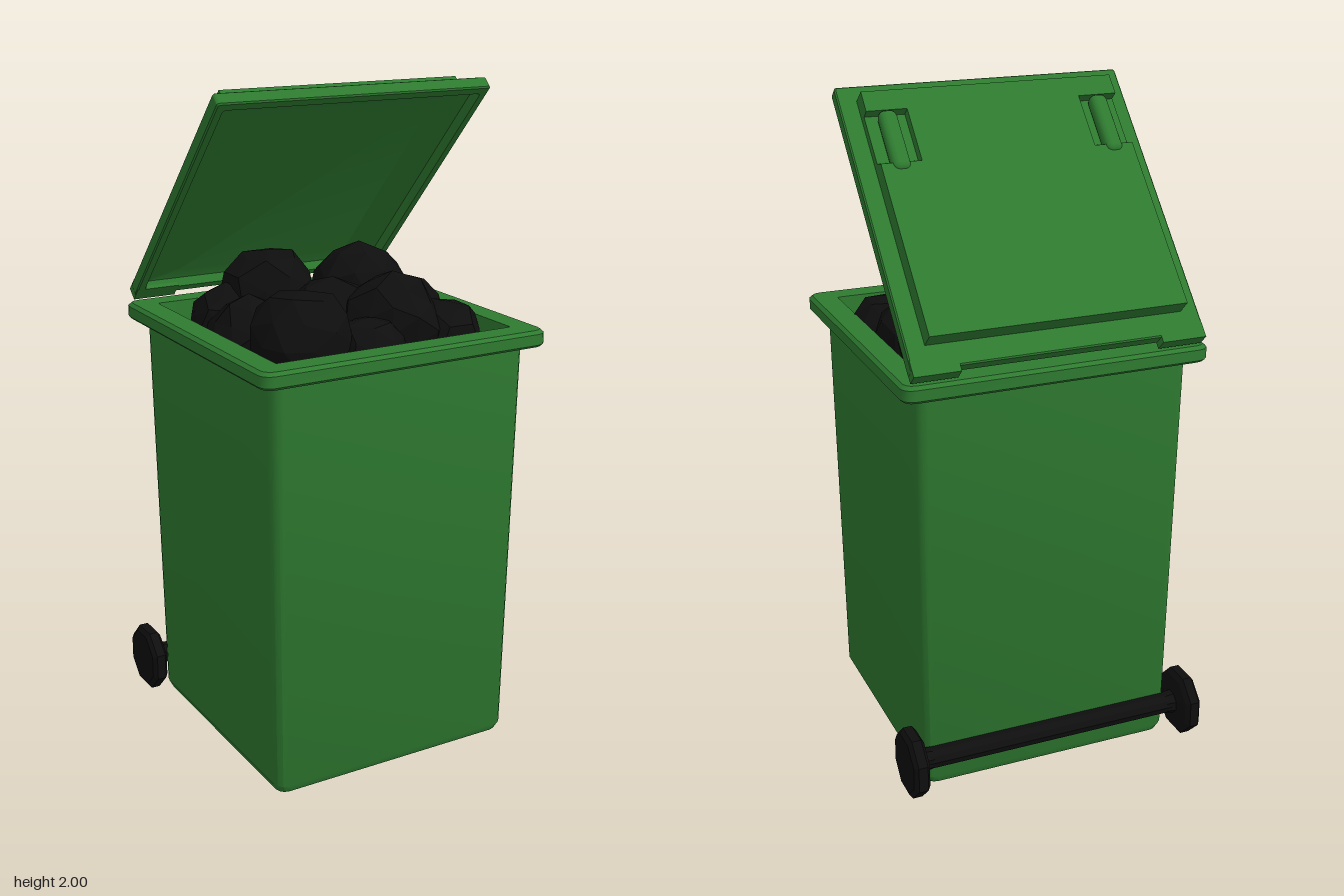
import * as THREE from 'three';
import { toCreasedNormals } from 'three/addons/utils/BufferGeometryUtils.js';
import { RoundedBoxGeometry } from 'three/addons/geometries/RoundedBoxGeometry.js';

// Corner-rounded rectangle outline at height y, from -x to x and z0 to z1
function ringPoints({ y, x, z0, z1, r }) {
  const corners = [[x - r, z1 - r], [-x + r, z1 - r], [-x + r, z0 + r], [x - r, z0 + r]];
  const points = [];
  corners.forEach(([cx, cz], c) => {
    for (let i = 0; i <= 3; i++) {
      const a = (c + i / 3) * Math.PI / 2;
      points.push([cx + r * Math.cos(a), y, cz + r * Math.sin(a)]);
    }
  });
  return points;
}

// Skin between successive outlines, optionally capped at either end
function loft(rings, capStart, capEnd) {
  const n = 16, pos = [], index = [];
  rings.forEach(ring => ringPoints(ring).forEach(p => pos.push(...p)));
  for (let k = 0; k < rings.length - 1; k++) {
    for (let i = 0; i < n; i++) {
      const a = k * n + i, b = k * n + (i + 1) % n, c = a + n, d = b + n;
      index.push(a, c, b, b, c, d);
    }
  }
  const last = (rings.length - 1) * n;
  for (let i = 1; i < n - 1; i++) {
    if (capStart) index.push(0, i, i + 1);
    if (capEnd) index.push(last, last + i + 1, last + i);
  }
  const geo = new THREE.BufferGeometry();
  geo.setAttribute('position', new THREE.Float32BufferAttribute(pos, 3));
  geo.setIndex(index);
  return toCreasedNormals(geo, 0.6);
}

const ring = (y, x, z0, z1, r) => ({ y, x, z0, z1, r });

// Side profile of [z, y] points extruded along x
function extrudeX(profile, x0, x1) {
  const shape = new THREE.Shape(profile.map(p => new THREE.Vector2(...p)));
  const geo = new THREE.ExtrudeGeometry(shape, { depth: x1 - x0, bevelEnabled: false });
  return geo.rotateY(-Math.PI / 2).translate(x1, 0, 0);
}

// Lumpy faceted bag or rock
function lump(radius, seed) {
  const geo = new THREE.IcosahedronGeometry(radius, 1);
  const p = geo.attributes.position;
  for (let i = 0; i < p.count; i++) {
    const key = Math.round(p.getX(i) / radius * 50) * 12.9 + Math.round(p.getY(i) / radius * 50) * 78.2
      + Math.round(p.getZ(i) / radius * 50) * 37.7 + seed * 51.3;
    const k = 0.92 + 0.14 * Math.abs(Math.sin(key));
    p.setXYZ(i, p.getX(i) * k, p.getY(i) * k, p.getZ(i) * k);
  }
  geo.computeVertexNormals();
  return geo;
}

export function createModel() {
  const model = new THREE.Group();
  model.name = 'wheeledBin';
  const green = new THREE.MeshStandardMaterial({ color: 0x2e7a30 });
  green.name = 'green plastic';
  const black = new THREE.MeshStandardMaterial({ color: 0x0e0e0e, flatShading: true });
  black.name = 'black';

  const add = (parent, name, geo, mat, x = 0, y = 0, z = 0) => {
    const mesh = new THREE.Mesh(geo, mat);
    mesh.name = name;
    mesh.position.set(x, y, z);
    parent.add(mesh);
    return mesh;
  };

  // Tapered body, folded rim and inner walls
  const neck = ring(1.265, 0.415, -0.395, 0.445, 0.035);
  const mouth = ring(1.315, 0.385, -0.36, 0.41, 0.005);
  add(model, 'body', loft([
    ring(0, 0.37, -0.345, 0.4, 0.02),
    ring(0.01, 0.388, -0.363, 0.418, 0.03),
    ring(0.035, 0.4, -0.375, 0.43, 0.035),
    neck,
  ], true, false), green);
  add(model, 'rim', loft([
    neck,
    ring(1.265, 0.455, -0.432, 0.482, 0.03),
    ring(1.273, 0.463, -0.44, 0.49, 0.035),
    ring(1.305, 0.463, -0.44, 0.49, 0.035),
    ring(1.315, 0.453, -0.43, 0.48, 0.03),
    mouth,
  ], false, false), green);
  add(model, 'innerWalls', loft([mouth, ring(0.05, 0.37, -0.345, 0.395, 0.005)], false, true), green);

  // Rubbish: flat fill with lumps heaped on it (x, z, top, radius)
  add(model, 'rubbishFill', new THREE.BoxGeometry(0.766, 0.1, 0.766), black, 0, 1.185, 0.025);
  [
    [-0.09, -0.19, 1.49, 0.15], [0.22, -0.17, 1.48, 0.15], [0.13, 0.17, 1.455, 0.15],
    [-0.18, 0.18, 1.45, 0.15], [0.01, 0.03, 1.43, 0.15], [-0.24, -0.03, 1.39, 0.13],
    [0.28, 0.22, 1.37, 0.12], [0.26, 0.03, 1.41, 0.12], [-0.23, -0.2, 1.39, 0.12],
    [0, 0.25, 1.36, 0.12],
  ].forEach(([x, z, top, r], i) => {
    const mesh = add(model, 'rubbishLump', lump(r, i + 1), black, x, top - r, z);
    mesh.rotation.y = i * 1.3;
  });

  // Open lid: local z runs from hinge to free edge, local y points outward
  const lid = new THREE.Group();
  lid.name = 'lid';
  lid.position.set(0, 1.32, -0.423);
  lid.rotation.x = -0.81;
  model.add(lid);
  add(lid, 'lidShell', loft([
    ring(0.035, 0.3, 0.09, 0.815, 0.01),
    ring(0.025, 0.405, 0.055, 0.872, 0.01),
    ring(0, 0.415, 0.045, 0.88, 0.01),
    ring(0, 0.436, 0.022, 0.903, 0.006),
    ring(0.004, 0.44, 0.018, 0.907, 0.008),
    ring(0.037, 0.44, 0.018, 0.907, 0.008),
    ring(0.041, 0.436, 0.022, 0.903, 0.006),
  ], true, true), green);

  // Raised panel; its outer strips are notched around the handles
  add(lid, 'raisedPanel', extrudeX(
    [[0.087, 0.04], [0.856, 0.04], [0.852, 0.094], [0.087, 0.094]], -0.265, 0.265), green);
  const notched = [[0.087, 0.04], [0.856, 0.04], [0.852, 0.094], [0.787, 0.094],
    [0.787, 0.065], [0.635, 0.065], [0.617, 0.094], [0.087, 0.094]];
  for (const side of [-1, 1]) {
    add(lid, 'notchedPanel', extrudeX(notched, -0.06, 0.06), green, side * 0.325);
    add(lid, 'lidHandle', new RoundedBoxGeometry(0.055, 0.045, 0.195, 2, 0.02), green,
      side * 0.325, 0.081, 0.69);
    add(lid, 'hingeTab', new THREE.BoxGeometry(0.136, 0.041, 0.05), green, side * 0.37, 0.0205, 0.025);
  }

  // Axle and eight-sided wheels with hubs
  const axle = add(model, 'axle', new THREE.CylinderGeometry(0.033, 0.033, 0.84, 10), black, 0, 0.117, -0.388);
  axle.rotation.z = Math.PI / 2;
  const wheelProfile = [[0.033, -0.06], [0.037, -0.03], [0.09, -0.025], [0.106, -0.014],
    [0.106, 0.014], [0.09, 0.025], [0, 0.025]].map(p => new THREE.Vector2(...p));
  for (const side of [-1, 1]) {
    const wheel = add(model, 'wheel', new THREE.LatheGeometry(wheelProfile, 8, Math.PI / 8), black,
      side * 0.447, 0.117, -0.388);
    wheel.rotation.z = -side * Math.PI / 2;
  }
  return model;
}
